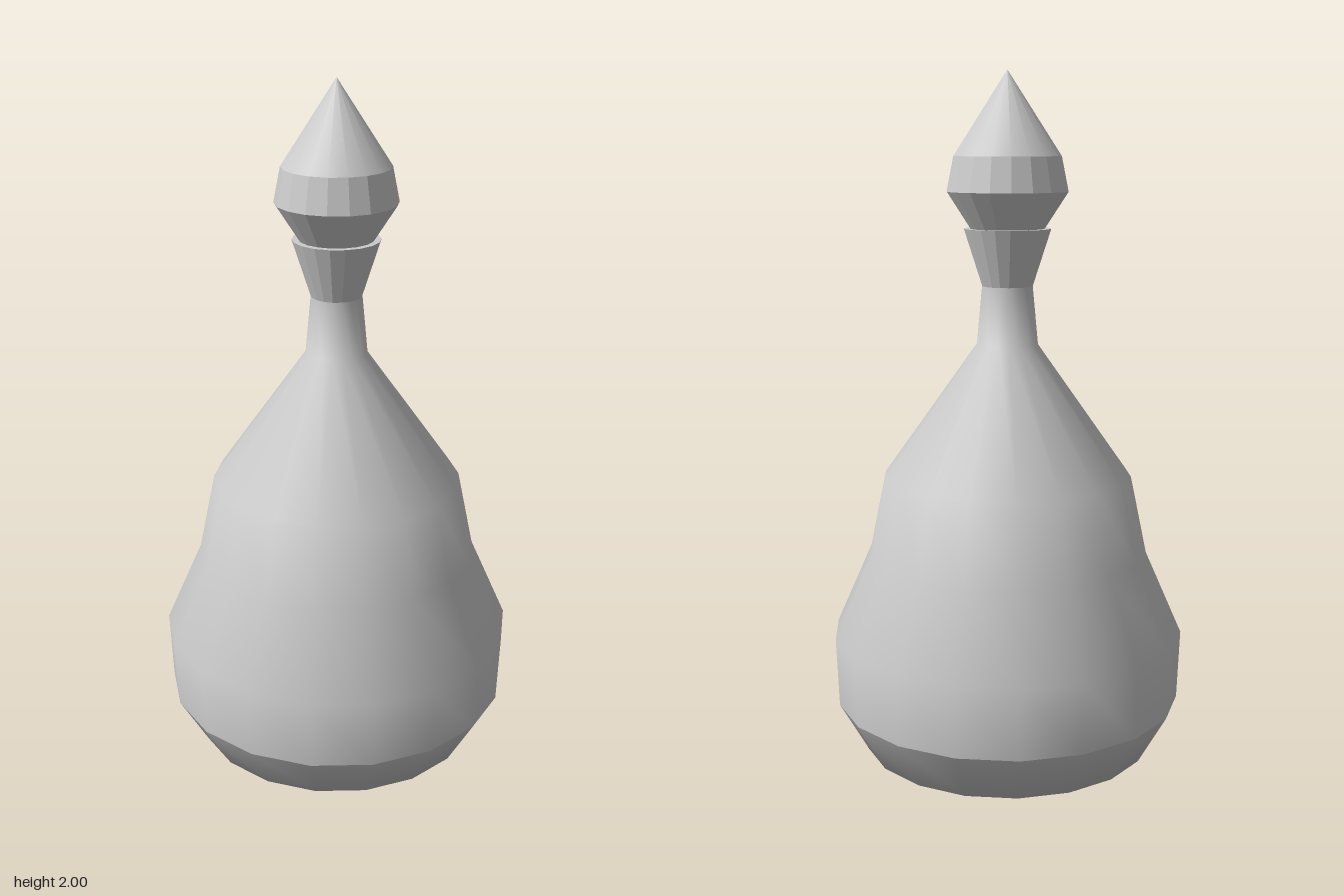
import * as THREE from 'three';

const SIDES = 18;
const smooth = new THREE.MeshStandardMaterial({ color: 0xcccccc });
const faceted = new THREE.MeshStandardMaterial({ color: 0xcccccc, flatShading: true });

// Turns a profile of [radius, height] pairs, with a corner on the x axis
function turned(name, profile, material) {
  const points = profile.map(([r, y]) => new THREE.Vector2(r, y));
  const mesh = new THREE.Mesh(new THREE.LatheGeometry(points, SIDES, Math.PI / 2), material);
  mesh.name = name;
  return mesh;
}

export function createModel() {
  const bottle = new THREE.Group();
  bottle.name = 'bottle';

  // Closed foot, tapering inwards to the ground
  bottle.add(turned('foot', [[0, 0], [0.43, 0], [0.515, 0.15]], smooth));

  // Bulging body, shoulder and narrow neck
  bottle.add(turned('body', [
    [0.515, 0.15], [0.523, 0.355], [0.415, 0.6], [0.367, 0.83], [0.09, 1.22], [0.074, 1.39],
  ], smooth));

  // Flared mouth with a flat rim
  bottle.add(turned('mouth', [[0.074, 1.39], [0.127, 1.555], [0.1, 1.555]], faceted));

  // Stopper: widening underside and band, then a pointed tip
  const stopper = new THREE.Group();
  stopper.name = 'stopper';
  stopper.add(turned('stopperBand', [[0.108, 1.555], [0.176, 1.66], [0.156, 1.76]], faceted));
  stopper.add(turned('stopperTip', [[0.156, 1.76], [0, 2]], smooth));
  bottle.add(stopper);

  return bottle;
}
